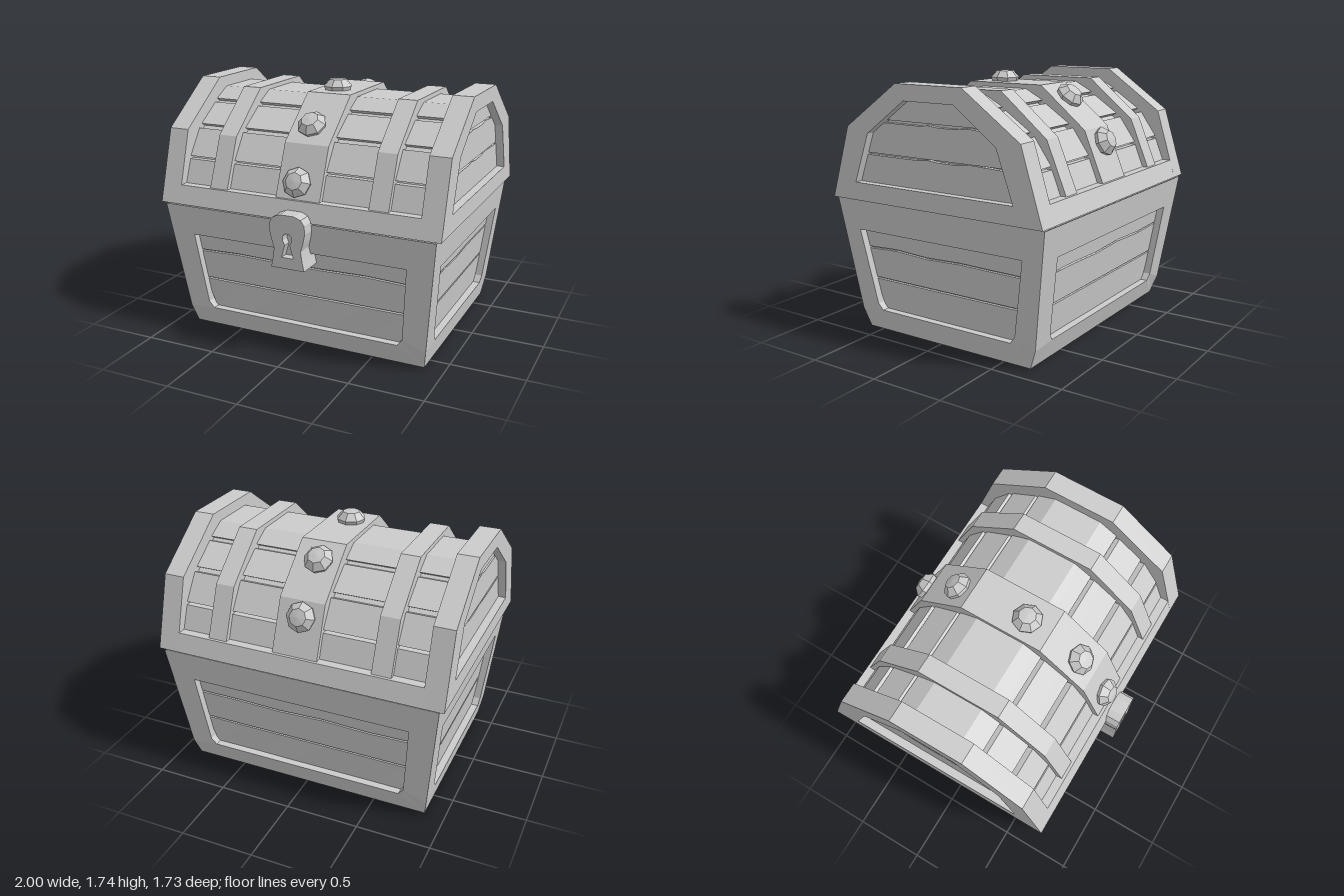
import * as THREE from 'three';

const mat = new THREE.MeshStandardMaterial({ color: 0xcccccc, flatShading: true });
const V = (x, y, z) => new THREE.Vector3(x, y, z);

// Piecewise linear lookup in a list of [y, value]
function lookup(table, y) {
  for (let i = 1; i < table.length; i++) {
    const [y0, a] = table[i - 1], [y1, b] = table[i];
    if (y <= y1 || i === table.length - 1) return a + (b - a) * (y - y0) / (y1 - y0);
  }
}
const bodyWidth = y => lookup([[0, 0.863], [0.13, 0.885], [0.915, 0.968]], y);
const bodyDepth = y => lookup([[0, 0.655], [0.13, 0.703], [0.915, 0.814]], y);
const lidHole = y => lookup([[1.045, 0.617], [1.375, 0.498], [1.6, 0.193]], y);

function add(parent, name, geometry) {
  const mesh = new THREE.Mesh(geometry, mat);
  mesh.name = name;
  parent.add(mesh);
  return mesh;
}

// Joins closed loops of points with quads
function bridge(loops) {
  const pos = [];
  for (let k = 0; k + 1 < loops.length; k++) {
    const a = loops[k], b = loops[k + 1], n = a.length;
    for (let i = 0; i < n; i++) {
      const j = (i + 1) % n;
      for (const p of [a[i], a[j], b[j], a[i], b[j], b[i]]) pos.push(p.x, p.y, p.z);
    }
  }
  const g = new THREE.BufferGeometry();
  g.setAttribute('position', new THREE.Float32BufferAttribute(pos, 3));
  g.computeVertexNormals();
  return g;
}

// Mirrors a right-hand profile (bottom to top) into a closed shape
function mirrored(right) {
  const left = right.filter(p => p[0] > 0).map(([x, y]) => [-x, y]).reverse();
  return new THREE.Shape([...right, ...left].map(([x, y]) => new THREE.Vector2(x, y)));
}

// Extrudes a depth/height shape along x between two positions
function alongX(shape, x0, x1) {
  return new THREE.ExtrudeGeometry(shape, { depth: x1 - x0, bevelEnabled: false })
    .rotateY(Math.PI / 2).translate(x0, 0, 0);
}

// One wall of the body: sloping frame with a recessed set of planks
function wall(half, depth, topInset, botInset, seed) {
  const g = new THREE.Group();
  const recess = 0.05;
  const opening = y => lookup([[0.145, half(0.145) - botInset - 0.03], [0.19, half(0.19) - botInset],
    [0.71, half(0.71) - topInset]], y);
  const loop = (ys, f, inset) => [
    ...ys.map(y => V(-f(y), y, depth(y) - inset)),
    ...[...ys].reverse().map(y => V(f(y), y, depth(y) - inset))];
  const outer = loop([0.915, 0.13, 0], half, 0);
  const inner = loop([0.71, 0.19, 0.145], opening, 0);
  const deep = loop([0.71, 0.19, 0.145], opening, recess + 0.03);
  add(g, 'frame', bridge([outer, inner, deep]));

  // Planks with slightly uneven edges
  [[0.125, 0.355], [0.367, 0.575], [0.587, 0.73]].forEach(([y0, y1], k) => {
    const geo = new THREE.BoxGeometry(1, 1, 1, 5, 1, 1), p = geo.attributes.position;
    for (let i = 0; i < p.count; i++) {
      const u = p.getX(i), top = p.getY(i) > 0;
      const row = k + (top ? 1 : 0);
      const wobble = row === 1 ? 0 : 0.007 * Math.sin(u * 13 + row * 2.3 + seed);
      const y = (top ? y1 : y0) + wobble;
      p.setXYZ(i, u * 2 * (opening(y) + 0.02), y, depth(y) - recess - (p.getZ(i) > 0 ? 0 : 0.05));
    }
    add(g, 'plank', geo);
  });

  // Dark backing seen through the gaps
  const back = new THREE.BoxGeometry(1, 1, 0.02), q = back.attributes.position;
  for (let i = 0; i < q.count; i++) {
    const y = q.getY(i) > 0 ? 0.74 : 0.12;
    q.setXYZ(i, q.getX(i) * 2 * (half(y) - 0.09), y, depth(y) - recess - 0.03 + q.getZ(i));
  }
  add(g, 'backing', back);
  return g;
}

function makeBody() {
  const body = new THREE.Group();
  body.name = 'body';
  for (let k = 0; k < 4; k++) {
    const side = k % 2;
    const w = side ? wall(bodyDepth, bodyWidth, 0.14, 0.155, k) : wall(bodyWidth, bodyDepth, 0.175, 0.165, k);
    w.name = ['frontWall', 'leftWall', 'backWall', 'rightWall'][k];
    w.rotation.y = k * Math.PI / 2;
    body.add(w);
  }
  add(body, 'floor', new THREE.BoxGeometry(1.726, 0.02, 1.31).translate(0, 0.01, 0));
  add(body, 'upperDeck', new THREE.BoxGeometry(1.925, 0.015, 1.615).translate(0, 0.9065, 0));
  return body;
}

function makeLid() {
  const lid = new THREE.Group();
  lid.name = 'lid';

  // End rims with a recessed plank panel
  const rim = mirrored([[0.82, 0.925], [0.67, 1.41], [0.255, 1.705]]);
  rim.holes.push(mirrored([[0.617, 1.045], [0.498, 1.375], [0.193, 1.6]]));
  for (const s of [-1, 1]) {
    add(lid, 'endRim', alongX(rim, s > 0 ? 0.858 : -1, s > 0 ? 1 : -0.858));
    [[1.03, 1.228], [1.242, 1.445], [1.465, 1.615]].forEach(([y0, y1], k) => {
      const ys = y0 < 1.375 && y1 > 1.375 ? [y0, 1.375, y1] : [y0, y1];
      const right = ys.map(y => [lidHole(y) + 0.012, y]);
      const shape = mirrored(right);
      // chipped upper edge
      if (k < 2) {
        const pts = shape.getPoints(), n = right.length;
        const chips = [[0.25, 0.012], [0.1, -0.006], [-0.05, 0.008], [-0.25, -0.012]];
        pts.splice(n, 0, ...chips.map(([u, d]) => new THREE.Vector2(u, y1 + d)));
        shape.setFromPoints(pts);
      }
      add(lid, 'endPlank', alongX(shape, s > 0 ? 0.9 : -0.945, s > 0 ? 0.945 : -0.9));
    });
  }

  // Lower border
  add(lid, 'lidBorder', alongX(mirrored([[0.82, 0.925], [0.781, 1.05]]), -0.86, 0.86));

  // Curved planks with grooves between them
  const planks = mirrored([[0.735, 1.0], [0.722, 1.05], [0.66, 1.205], [0.62, 1.205], [0.615, 1.225],
    [0.655, 1.225], [0.535, 1.395], [0.495, 1.38], [0.47, 1.40], [0.505, 1.42],
    [0.325, 1.54], [0.285, 1.525], [0.265, 1.54], [0.3, 1.562], [0.17, 1.63]]);
  add(lid, 'lidPlanks', alongX(planks, -0.915, 0.915));

  // Straps over the planks
  const strap = mirrored([[0.765, 1.03], [0.762, 1.05], [0.622, 1.385], [0.288, 1.66]]);
  for (const [x0, x1] of [[-0.64, -0.508], [-0.142, 0.172], [0.508, 0.64]])
    add(lid, 'strap', alongX(strap, x0, x1));

  // Faceted studs along the middle strap: depth, height, tilt
  const stud = new THREE.LatheGeometry([[0.085, -0.02], [0.1, 0.025], [0.058, 0.07], [0, 0.076]]
    .map(([r, y]) => new THREE.Vector2(r, y)), 8);
  for (const [u, y, tilt] of [[0.718, 1.15, 1.17], [0.505, 1.48, 0.68], [0.115, 1.66, 0],
    [-0.4, 1.57, -0.68], [-0.665, 1.29, -1.17]]) {
    const m = add(lid, 'stud', stud);
    m.position.set(0, y, u);
    m.rotation.x = tilt;
  }
  return lid;
}

function makeLock() {
  const lock = new THREE.Group();
  lock.name = 'lock';
  const outline = () => mirrored([[0.118, 0.63], [0.105, 0.69], [0.095, 0.76], [0.113, 0.82], [0.126, 0.88],
    [0.122, 0.935], [0.098, 0.97], [0.05, 0.988]]);
  const face = outline();
  face.holes.push(mirrored([[0.042, 0.705], [0.017, 0.79], [0.032, 0.82], [0.03, 0.85], [0.013, 0.866]]));
  const plate = (shape, z0, z1) =>
    new THREE.ExtrudeGeometry(shape, { depth: z1 - z0, bevelEnabled: false }).translate(0.014, 0, z0);
  add(lock, 'lockFace', plate(face, 0.85, 0.907));
  add(lock, 'lockBack', plate(outline(), 0.73, 0.85));
  return lock;
}

export function createModel() {
  const chest = new THREE.Group();
  chest.name = 'chest';
  chest.add(makeBody(), makeLid(), makeLock());
  chest.position.z = -0.043;
  const model = new THREE.Group();
  model.add(chest);
  return model;
}
